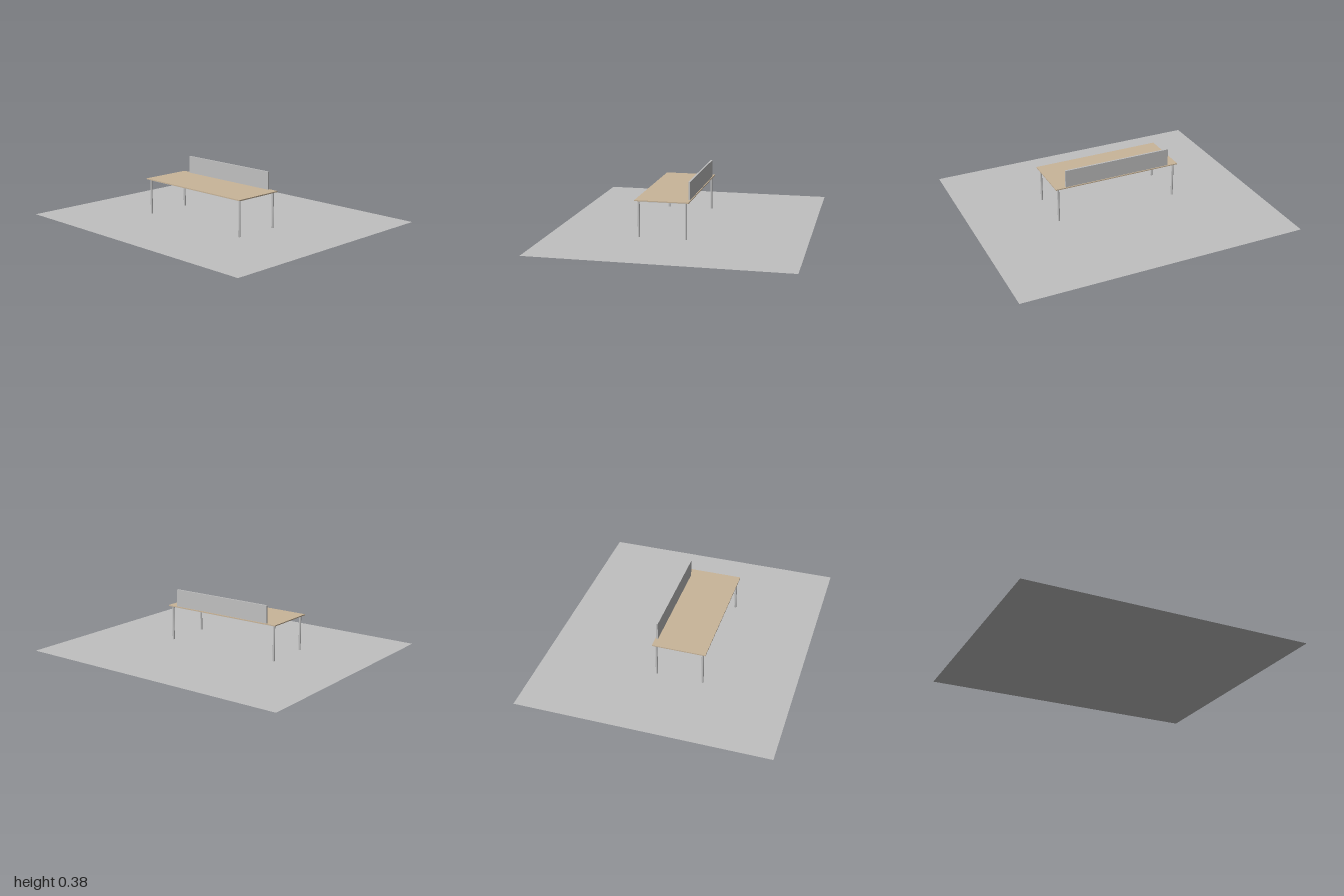
import * as THREE from 'three';

const mat = (name, color, side = THREE.FrontSide) => {
  const m = new THREE.MeshStandardMaterial({ color, side });
  m.name = name;
  return m;
};

export function createModel() {
  const grey = mat('grey', 0xc0c0c0, THREE.DoubleSide);
  const wood = mat('light wood', 0xc9b599);
  const model = new THREE.Group();
  model.name = 'deskOnFloor';

  const add = (parent, name, geometry, material, x, y, z) => {
    const mesh = new THREE.Mesh(geometry, material);
    mesh.name = name;
    mesh.position.set(x, y, z);
    parent.add(mesh);
    return mesh;
  };

  // Flat floor sheet
  add(model, 'floor', new THREE.PlaneGeometry(2, 1.716).rotateX(-Math.PI / 2), grey, 0, 0, 0);

  // Desk sits a little off the centre of the floor
  const desk = new THREE.Group();
  desk.name = 'desk';
  desk.position.set(-0.01, 0, 0.094);
  model.add(desk);

  add(desk, 'tabletop', new THREE.BoxGeometry(0.914, 0.007, 0.364), wood, 0, 0.2505, 0);

  // Round legs at the corners
  const legX = 0.434, legZ = 0.159, legR = 0.0075;
  const leg = new THREE.CylinderGeometry(legR, legR, 0.247, 24);
  for (const sx of [-1, 1])
    for (const sz of [-1, 1])
      add(desk, 'leg', leg, grey, sx * legX, 0.1235, sz * legZ);

  // Rails under the top joining the legs
  const longRail = new THREE.BoxGeometry(2 * legX, 0.007, 0.012);
  const shortRail = new THREE.BoxGeometry(0.012, 0.007, 2 * legZ);
  for (const s of [-1, 1]) {
    add(desk, 'longRail', longRail, grey, 0, 0.2435, s * legZ);
    add(desk, 'shortRail', shortRail, grey, s * legX, 0.2435, 0);
  }

  // Privacy screen along the back edge
  add(desk, 'privacyScreen', new THREE.BoxGeometry(0.768, 0.122, 0.012), grey, 0, 0.315, -0.17);

  return model;
}
